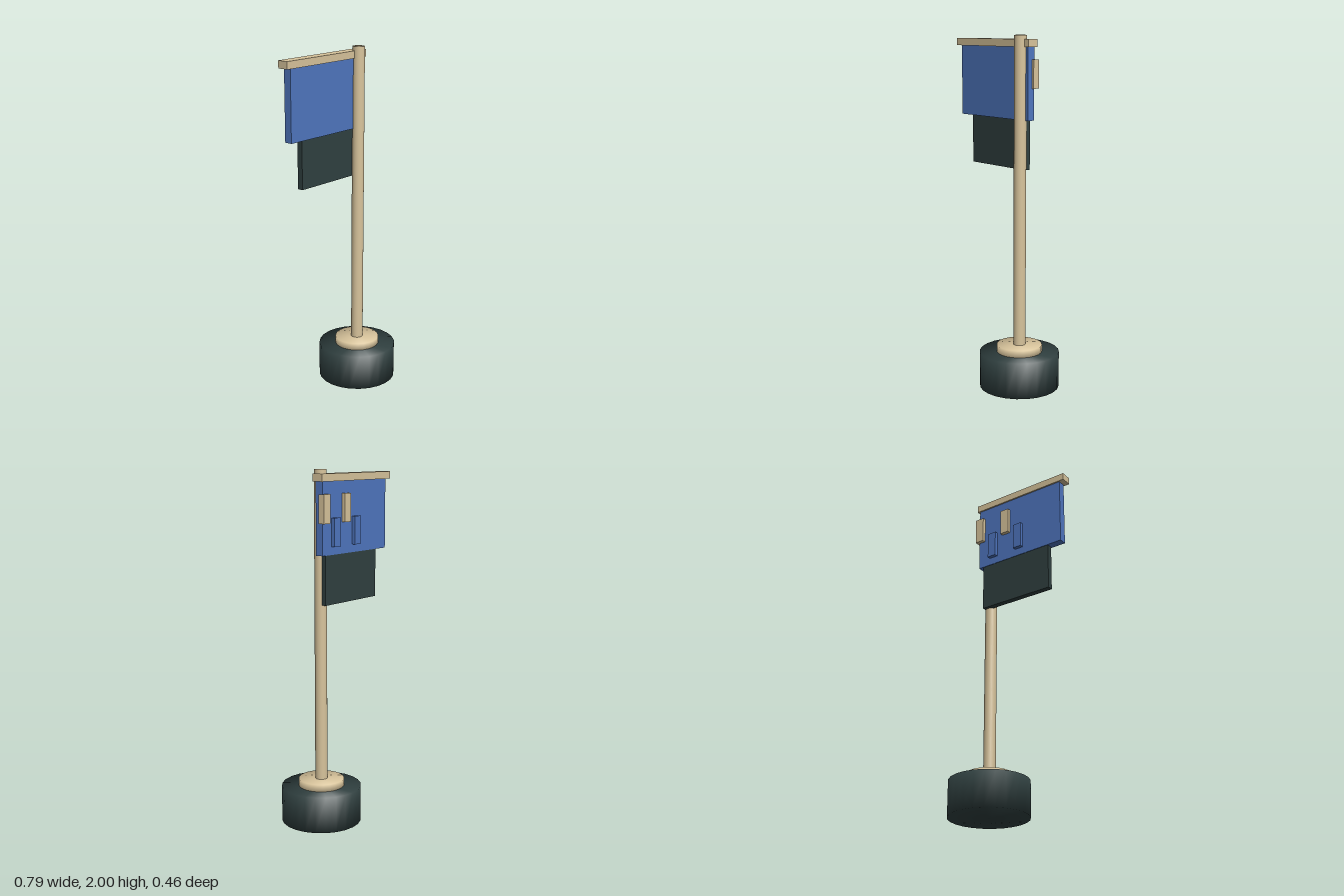
import * as THREE from 'three';
import { mergeVertices } from 'three/addons/utils/BufferGeometryUtils.js';

export function createModel() {
  const group = new THREE.Group();
  const material = (name, color) => {
    const m = new THREE.MeshStandardMaterial({ color });
    m.name = name;
    return m;
  };
  const wood = material('pale wood', 0xd8c49c);
  const blue = material('blue', 0x4f76bf);
  const dark = material('dark slate', 0x304040);

  const add = (name, geometry, mat) => {
    const mesh = new THREE.Mesh(geometry, mat);
    mesh.name = name;
    group.add(mesh);
  };

  // Box given by its extents on each axis
  const box = (name, mat, [x0, x1], [y0, y1], [z0, z1]) => {
    const g = new THREE.BoxGeometry(x1 - x0, y1 - y0, z1 - z0);
    g.translate((x0 + x1) / 2, (y0 + y1) / 2, (z0 + z1) / 2);
    add(name, g, mat);
  };

  // Upright cylinder on the pole axis, with normals blended over the rims
  const poleX = 0.168;
  const disc = (name, mat, radius, y0, y1, sides) => {
    let g = new THREE.CylinderGeometry(radius, radius, y1 - y0, sides);
    g.deleteAttribute('uv');
    g.deleteAttribute('normal');
    g = mergeVertices(g);
    g.computeVertexNormals();
    g.translate(poleX, (y0 + y1) / 2, 0);
    add(name, g, mat);
  };

  // Stand and pole
  disc('base', dark, 0.228, 0, 0.207, 24);
  disc('collar', wood, 0.13, 0.19, 0.248, 24);
  disc('pole', wood, 0.035, 0.2, 2, 24);

  // Hanging banner
  box('crossbar', wood, [-0.398, 0.233], [1.935, 1.977], [-0.065, 0]);
  box('upperPanel', blue, [-0.365, 0.22], [1.535, 1.935], [-0.056, -0.01]);
  box('lowerPanel', dark, [-0.275, 0.19], [1.258, 1.535], [-0.053, -0.019]);

  // Staggered tabs on the back of the banner
  for (let i = 0; i < 4; i++) {
    const x = -0.1 + i * 0.093;
    const raised = i % 2 === 1;
    const y = raised ? 1.71 : 1.58;
    box(raised ? 'woodTab' : 'blueTab', raised ? wood : blue,
      [x, x + 0.055], [y, y + 0.158], [-0.078, -0.039]);
  }

  return group;
}
